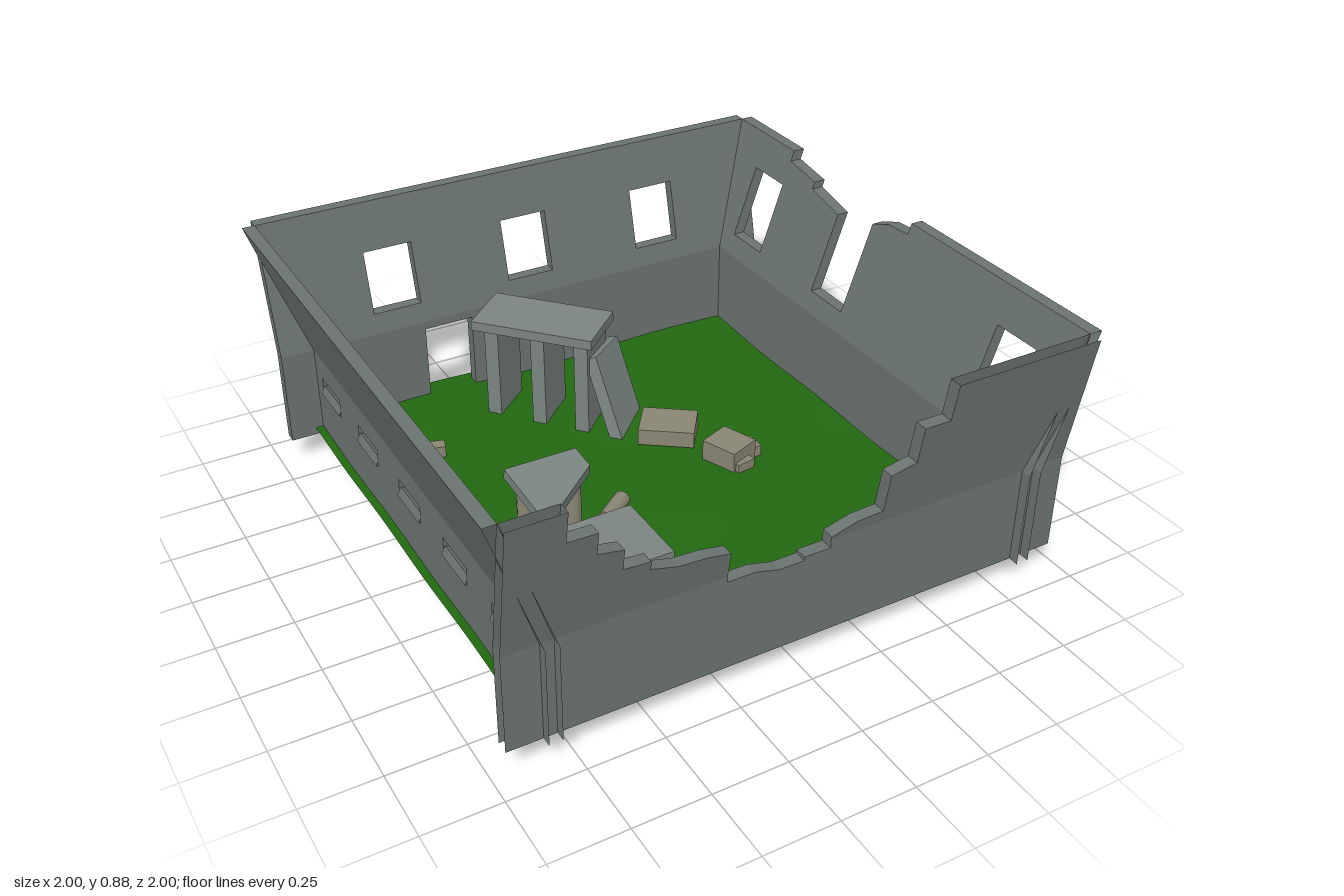
import * as THREE from 'three';

const BOTTOM = 0.095, BEND = 0.43, TOP = 0.885, HALF = 0.959, THICK = 0.043;
const paint = (color, extra = {}) => new THREE.MeshStandardMaterial({ color, ...extra });
const wallStone = paint(0x6b7471, { flatShading: true, side: THREE.DoubleSide });
const slabStone = paint(0x7b8582, { flatShading: true });
const rubbleStone = paint(0x8a8674, { flatShading: true });
const columnStone = paint(0x8a8674);
const grass = paint(0x226810, { side: THREE.DoubleSide });

function add(parent, name, geometry, material, pos = [0, 0, 0], rot = [0, 0, 0]) {
  const mesh = new THREE.Mesh(geometry, material);
  mesh.name = name;
  mesh.position.set(...pos);
  mesh.rotation.set(...rot);
  parent.add(mesh);
  return mesh;
}

const box = (w, h, d) => new THREE.BoxGeometry(w, h, d);
const points = list => list.map(([x, y]) => new THREE.Vector2(x, y));
const rect = (x0, x1, y0, y1) => [[x0, y0], [x1, y0], [x1, y1], [x0, y1]];

// Drops the triangles lying wholly on one of the given levels of x or y
function openEdges(geometry, levels) {
  const src = geometry.attributes.position.array, kept = [];
  for (let i = 0; i < src.length; i += 9) {
    const onLevel = ([axis, v]) => [0, 3, 6].every(k => Math.abs(src[i + k + axis] - v) < 1e-4);
    if (!levels.some(onLevel)) kept.push(...src.slice(i, i + 9));
  }
  return new THREE.BufferGeometry().setAttribute('position', new THREE.Float32BufferAttribute(kept, 3));
}

// A wall facing +z before turning: upright below the bend, leaning outwards above it
function wall(name, turn, inner, lean, openLevels, pieces) {
  const group = new THREE.Group();
  group.name = name;
  group.rotation.y = turn;
  for (const { outline, holes = [] } of pieces) {
    const shape = new THREE.Shape(points(outline));
    holes.forEach(h => shape.holes.push(new THREE.Path(points(h))));
    const solid = new THREE.ExtrudeGeometry(shape, { depth: THICK, bevelEnabled: false });
    const g = openEdges(solid, [[1, BOTTOM], [1, BEND], ...openLevels]);
    const p = g.attributes.position;
    for (let i = 0; i < p.count; i++) {
      const t = Math.max(0, (p.getY(i) - BEND) / (TOP - BEND));
      p.setZ(i, p.getZ(i) + inner + lean * t);
    }
    g.computeVertexNormals();
    add(group, name + 'Section', g, wallStone);
  }
  return group;
}

// Uneven ground reaching the outside of the walls
function ground() {
  const g = new THREE.PlaneGeometry(1.74, 1.845, 24, 24).rotateX(-Math.PI / 2);
  const p = g.attributes.position;
  for (let i = 0; i < p.count; i++) {
    const x = p.getX(i), z = p.getZ(i);
    p.setY(i, 0.124 + 0.006 * Math.sin(7 * x + 2 * z) + 0.004 * Math.sin(9 * z - 4 * x));
  }
  g.computeVertexNormals();
  return g;
}

function column(parent, name, x, z, y0, y1) {
  add(parent, name, new THREE.CylinderGeometry(0.028, 0.028, y1 - y0, 12), columnStone, [x, (y0 + y1) / 2, z]);
}

export function createModel() {
  const model = new THREE.Group();
  model.name = 'ruinedBuilding';
  add(model, 'ground', ground(), grass);

  const lower = rect(-HALF, HALF, BOTTOM, BEND);
  const upper = rect(-HALF, HALF, BEND, TOP);
  const openEnds = [[0, -HALF], [0, HALF]];

  // Front wall with a large stepped breach
  model.add(wall('frontWall', 0, 0.88, 0.077, [...openEnds, [1, TOP]], [
    { outline: [[-HALF, BOTTOM], [HALF, BOTTOM], [HALF, BEND], [0.09, BEND], [0.09, 0.4], [0, 0.4], [0, 0.388],
      [-0.085, 0.388], [-0.17, 0.41], [-0.26, 0.41], [-0.26, BEND], [-HALF, BEND]] },
    { outline: [[-HALF, BEND], [-0.26, BEND], [-0.26, 0.52], [-0.34, 0.537], [-0.43, 0.543], [-0.52, 0.57],
      [-0.52, 0.6], [-0.607, 0.607], [-0.607, 0.68], [-0.69, 0.698], [-0.69, 0.775], [-0.783, 0.778],
      [-0.783, TOP], [-HALF, TOP]] },
    { outline: [[HALF, BEND], [HALF, TOP], [0.44, TOP], [0.44, 0.757], [0.35, 0.757], [0.35, 0.63], [0.265, 0.61],
      [0.265, 0.473], [0.175, 0.468], [0.09, 0.44], [0.09, BEND]] },
  ]));

  // Back wall with a doorway and three windows
  model.add(wall('backWall', Math.PI, 0.845, 0.112, [], [
    { outline: [[-HALF, BOTTOM], [0.25, BOTTOM], [0.25, 0.4], [0.43, 0.4], [0.43, BOTTOM], [HALF, BOTTOM],
      [HALF, BEND], [-HALF, BEND]] },
    { outline: upper, holes: [-0.528, 0, 0.52].map(x => rect(x - 0.088, x + 0.088, 0.5, 0.717)) },
  ]));

  // Right wall with two windows and a collapsed middle window
  model.add(wall('rightWall', Math.PI / 2, 0.8, 0.157, openEnds, [
    { outline: lower },
    { outline: [[-HALF, BEND], [HALF, BEND], [HALF, TOP], [0.6, TOP], [0.6, 0.848], [0.435, 0.83], [0.435, 0.805],
      [0.26, 0.778], [0.26, 0.5], [0.077, 0.5], [0.077, 0.815], [0, 0.842], [-0.1, 0.848], [-0.1, TOP],
      [-HALF, TOP]],
      holes: [rect(-0.792, -0.612, 0.543, 0.76), rect(0.602, 0.782, 0.503, 0.76)] },
  ]));

  // Left wall with low slits, each with a sill rising outwards
  const slits = [-0.7, -0.355, 0, 0.35, 0.695];
  const leftWall = wall('leftWall', -Math.PI / 2, 0.8, 0.157, openEnds, [
    { outline: lower, holes: slits.map(z => rect(z - 0.085, z + 0.085, 0.285, 0.35)) },
    { outline: upper },
  ]);
  for (const z of slits) add(leftWall, 'slitSill', box(0.17, 0.03, 0.05), wallStone, [z, 0.293, 0.822], [-0.5, 0, 0]);
  model.add(leftWall);

  // Long slab on three piers, with a fallen slab leaning under its end
  const table = new THREE.Group();
  table.name = 'slabOnPiers';
  table.position.set(-0.103, 0, -0.56);
  table.rotation.y = 0.735;
  add(table, 'longSlab', box(0.225, 0.035, 0.445), slabStone, [0, 0.483, 0]);
  for (const z of [-0.157, 0.015, 0.176]) add(table, 'pier', box(0.19, 0.365, 0.05), slabStone, [0, 0.283, z]);
  add(table, 'leaningSlab', box(0.2, 0.34, 0.045), slabStone, [0.01, 0.24, 0.262], [-0.34, 0, -0.1]);
  model.add(table);

  // Square slab on four columns
  add(model, 'squareSlab', box(0.255, 0.035, 0.265), slabStone, [-0.432, 0.372, 0.572]);
  for (const x of [-0.51, -0.345]) for (const z of [0.485, 0.65]) column(model, 'shortColumn', x, z, 0.077, 0.36);

  // Broken slab on three columns
  const broken = new THREE.Shape(points([[-0.128, -0.155], [0.127, 0.06], [0.127, 0.16], [-0.128, 0.15]]));
  const brokenGeometry = new THREE.ExtrudeGeometry(broken, { depth: 0.035, bevelEnabled: false });
  add(model, 'brokenSlab', brokenGeometry, slabStone, [-0.432, 0.345, 0.235], [-Math.PI / 2 + 0.06, 0.04, 0]);
  for (const [x, z] of [[-0.51, 0.13], [-0.51, 0.295], [-0.345, 0.13]]) column(model, 'longColumn', x, z, 0, 0.345);

  // Toppled column pieces
  for (const [x, z, a] of [[-0.187, 0.115, 0.93], [-0.282, 0.227, 0.5]]) {
    const g = new THREE.CylinderGeometry(0.028, 0.028, 0.13, 12).rotateX(Math.PI / 2);
    add(model, 'toppledColumn', g, columnStone, [x, 0.13, z], [0, Math.PI - a, 0]);
  }

  // Rubble blocks: width, height, depth, then x, y, z and turn
  const rubble = [
    [0.195, 0.06, 0.15, 0.188, 0.162, -0.18, -0.63],
    [0.12, 0.1, 0.135, 0.298, 0.152, 0.045, 0.36],
    [0.07, 0.06, 0.07, 0.375, 0.132, 0.04, 0.02],
    [0.07, 0.06, 0.06, 0.308, 0.13, 0.106, 0.15],
    [0.05, 0.05, 0.045, -0.68, 0.142, -0.472, -0.2],
    [0.05, 0.05, 0.045, -0.62, 0.14, -0.465, 0.4],
    [0.05, 0.05, 0.045, -0.56, 0.142, -0.47, -0.3],
  ];
  for (const [w, h, d, x, y, z, a] of rubble) add(model, 'rubbleBlock', box(w, h, d), rubbleStone, [x, y, z], [0, a, 0]);
  return model;
}
